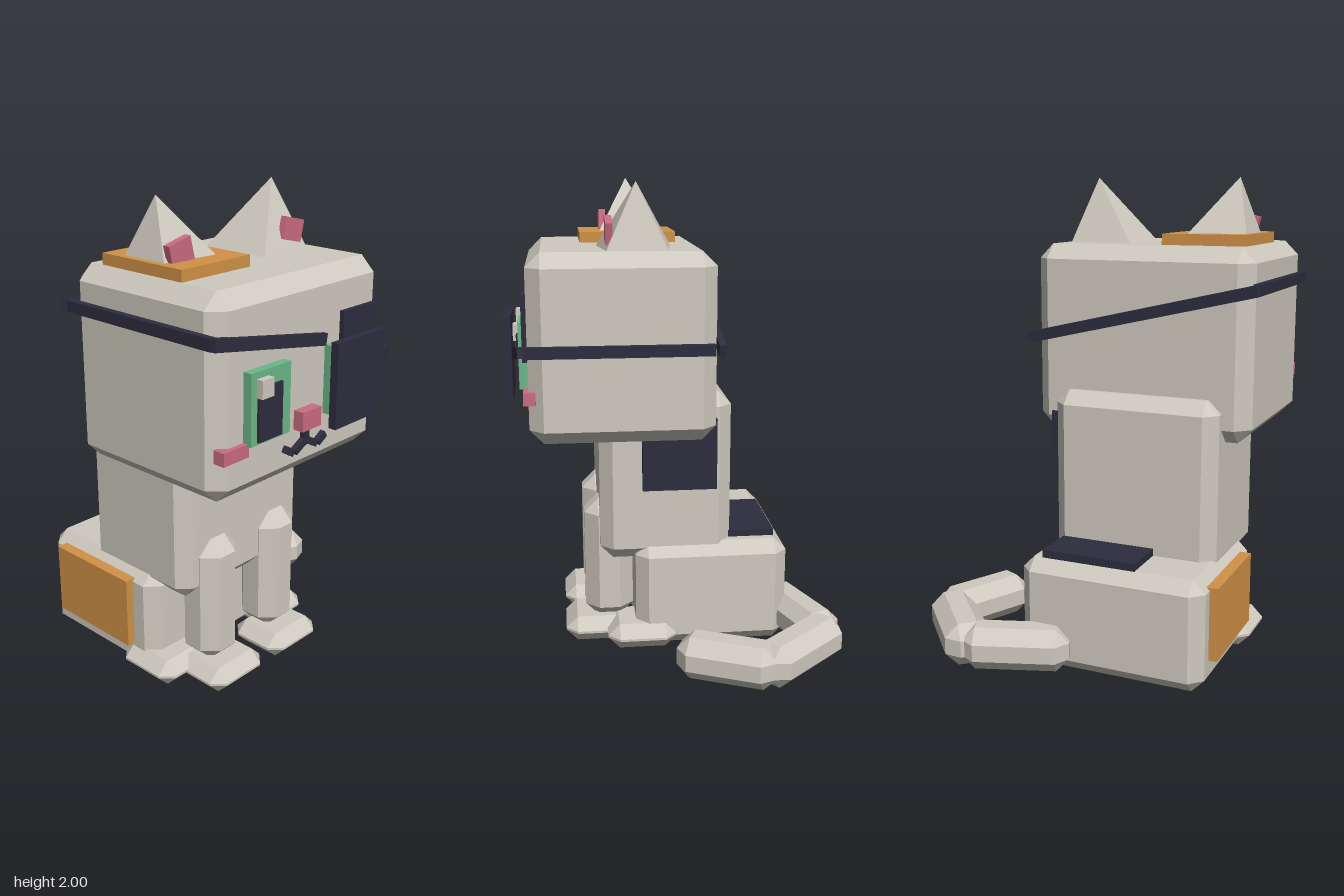
import * as THREE from 'three';
import { ConvexGeometry } from 'three/addons/geometries/ConvexGeometry.js';

const mat = (name, color) => {
  const m = new THREE.MeshStandardMaterial({ color });
  m.name = name;
  return m;
};

// Box with every edge cut at 45 degrees, centred on the origin
function chamferBox(w, h, d, c) {
  const pts = [];
  const [a, b, e] = [w / 2, h / 2, d / 2];
  for (const x of [-1, 1]) for (const y of [-1, 1]) for (const z of [-1, 1]) {
    pts.push(
      new THREE.Vector3(x * a, y * (b - c), z * (e - c)),
      new THREE.Vector3(x * (a - c), y * b, z * (e - c)),
      new THREE.Vector3(x * (a - c), y * (b - c), z * e));
  }
  return new ConvexGeometry(pts);
}

export function createModel() {
  const cat = new THREE.Group();
  cat.name = 'cat';
  const fur = mat('cream fur', 0xcfcabf);
  const orange = mat('orange patch', 0xd29348);
  const navy = mat('dark navy', 0x2e2d3e);
  const green = mat('eye green', 0x6cb88a);
  const pink = mat('soft pink', 0xcb6c81);

  const MID = -0.185; // the body's own centre line

  function add(name, geometry, material, x = 0, y = 0, z = 0, rz = 0, ry = 0) {
    const mesh = new THREE.Mesh(geometry, material);
    mesh.name = name;
    mesh.position.set(x, y, z);
    mesh.rotation.set(0, ry, rz);
    cat.add(mesh);
    return mesh;
  }
  // Parts given by their extents [min, max] on each axis
  const mid = (r) => (r[0] + r[1]) / 2;
  const len = (r) => r[1] - r[0];
  const block = (name, m, x, y, z, c) =>
    add(name, chamferBox(len(x), len(y), len(z), c), m, mid(x), mid(y), mid(z));
  const plate = (name, m, x, y, z) =>
    add(name, new THREE.BoxGeometry(len(x), len(y), len(z)), m, mid(x), mid(y), mid(z));
  const bar = (name, m, w, h, d, x, y, z, rz, ry) =>
    add(name, new THREE.BoxGeometry(w, h, d), m, x, y, z, rz, ry);

  // Body
  block('head', fur, [-0.655, 0.285], [0.95, 1.73], [-0.18, 0.59], 0.06);
  block('torso', fur, [-0.545, 0.17], [0.4, 1.13], [-0.26, 0.305], 0.055);
  block('haunches', fur, [-0.585, 0.21], [0.01, 0.475], [-0.505, 0.155], 0.053);

  // Legs, paws, ears and cheeks, mirrored about the centre line
  for (const s of [-1, 1]) {
    const side = s > 0 ? 'left' : 'right';
    const legX = MID + s * 0.177;
    add(side + 'FrontLeg', chamferBox(0.202, 0.55, 0.21, 0.06), fur, legX, 0.367, 0.265);
    add(side + 'FrontPaw', chamferBox(0.3, 0.11, 0.27, 0.05), fur, legX, 0.06, 0.325);
    add(side + 'HindPaw', chamferBox(0.28, 0.11, 0.3, 0.05), fur, MID + s * 0.302, 0.068, 0.13);

    // Ear: skewed four-sided pyramid sunk into the head
    const ear = [[0.316, 2, 0.14], [0.105, 1.73, -0.02], [0.39, 1.73, 0.015],
      [0.39, 1.73, 0.265], [0.105, 1.73, 0.295]];
    add(side + 'Ear', new ConvexGeometry(
      ear.map(([x, y, z]) => new THREE.Vector3(MID + s * x, y, z))), fur);
    bar(side + 'InnerEar', pink, 0.11, 0.09, 0.03, MID + s * 0.31, 1.807, 0.252, -s * 0.24, 0);
    bar(side + 'Cheek', pink, 0.13, 0.052, 0.05, MID + s * 0.391, 1.148, 0.585, 0, 0);

    // Mouth curls
    bar(side + 'MouthInner', navy, 0.07, 0.028, 0.03, MID + s * 0.033, 1.077, 0.597, -s * 0.5, 0);
    bar(side + 'MouthOuter', navy, 0.05, 0.028, 0.03, MID + s * 0.095, 1.073, 0.597, s * 0.55, 0);
  }

  // Tail: chamfered blocks laid along a bent path on the ground
  const path = [[-0.02, -0.49], [0.38, -0.63], [0.635, -0.345], [0.475, 0.0]];
  const overlap = [[0, 0.02], [0.05, 0.04], [0.04, 0]];
  overlap.forEach(([before, after], i) => {
    const a = new THREE.Vector2(...path[i]);
    const b = new THREE.Vector2(...path[i + 1]);
    const dir = b.clone().sub(a).normalize();
    a.addScaledVector(dir, -before);
    b.addScaledVector(dir, after);
    add('tail' + (i + 1), chamferBox(0.19, 0.18, a.distanceTo(b), 0.055), fur,
      (a.x + b.x) / 2, 0.117, (a.y + b.y) / 2, 0, Math.atan2(dir.x, dir.y));
  });

  // Eyes (the same layout, shifted across)
  for (const [side, dx] of [['right', 0], ['left', 0.453]]) {
    plate(side + 'Eye', green, [-0.52 + dx, -0.307 + dx], [1.165, 1.44], [0.58, 0.627]);
    plate(side + 'Pupil', navy, [-0.488 + dx, -0.36 + dx], [1.175, 1.38], [0.6, 0.637]);
    plate(side + 'EyeGlint', fur, [-0.492 + dx, -0.43 + dx], [1.345, 1.415], [0.61, 0.655]);
  }

  // Nose and mouth stem
  plate('nose', pink, [-0.24, -0.132], [1.145, 1.222], [0.58, 0.635]);
  plate('mouthStem', navy, [-0.2, -0.17], [1.075, 1.15], [0.582, 0.612]);

  // Coat markings
  plate('headMarking', orange, [-0.59, -0.237], [1.71, 1.775], [-0.06, 0.36]);
  plate('hipMarking', orange, [-0.62, -0.57], [0.13, 0.435], [-0.405, 0.04]);
  plate('rumpMarking', navy, [-0.29, 0.12], [0.46, 0.505], [-0.455, -0.25]);
  plate('flankMarking', navy, [0.15, 0.205], [0.725, 1.03], [-0.19, 0.125]);
  plate('faceMarking', navy, [0.02, 0.225], [1.29, 1.555], [0.57, 0.61]);

  // Eye patch and its strap round the head
  plate('eyePatch', navy, [-0.107, 0.188], [1.13, 1.47], [0.652, 0.685]);
  bar('strapFront', navy, 0.61, 0.047, 0.028, -0.382, 1.52, 0.597, -0.174, 0);
  bar('strapFrontShort', navy, 0.145, 0.045, 0.03, 0.24, 1.334, 0.623, 0.17, 0.17);
  plate('strapRightSide', navy, [-0.685, -0.655], [1.547, 1.593], [-0.165, 0.59]);
  plate('strapLeftSide', navy, [0.285, 0.312], [1.318, 1.365], [-0.165, 0.6]);
  bar('strapBack', navy, 1.02, 0.047, 0.028, -0.187, 1.455, -0.192, -0.23, 0);

  return cat;
}
